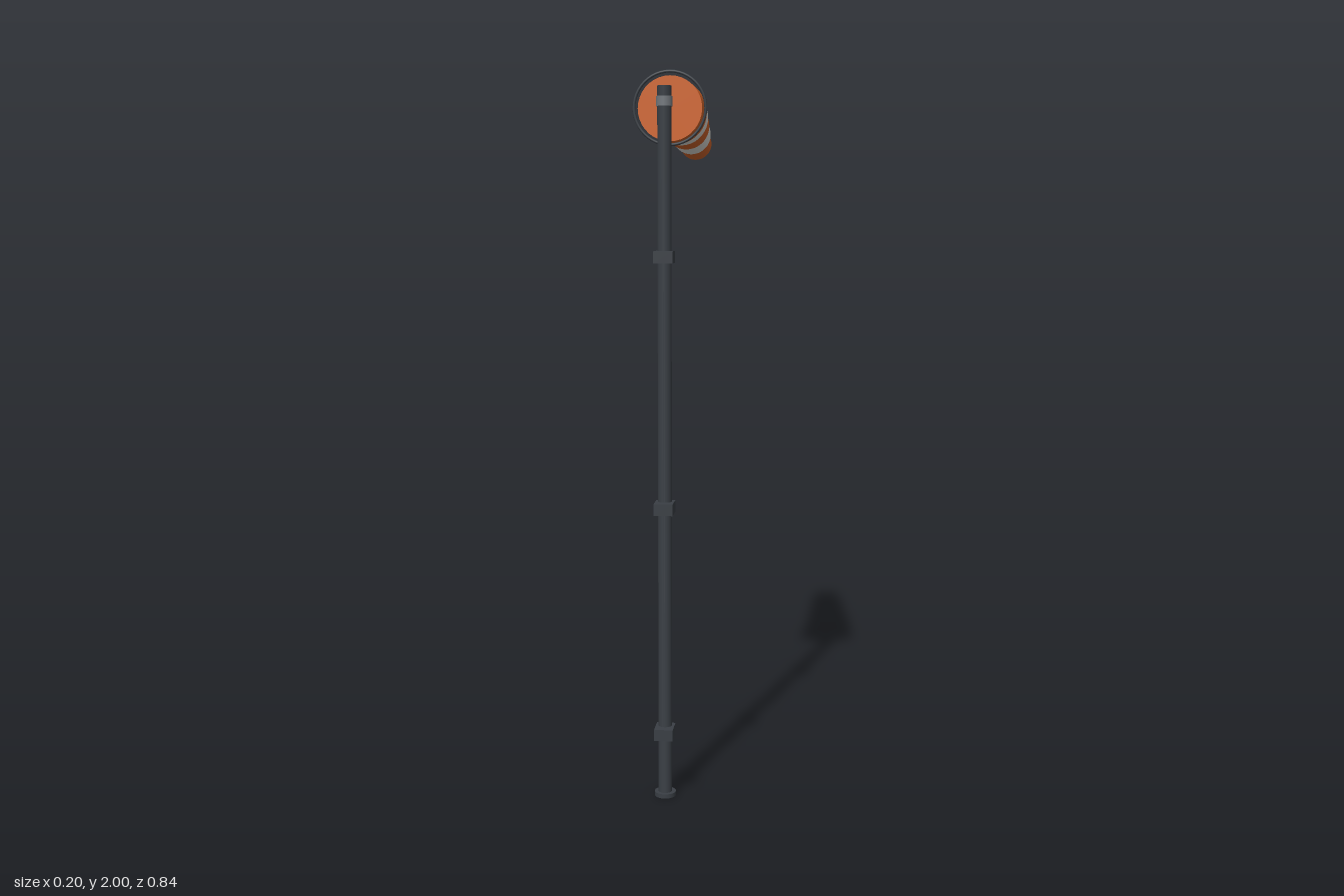
import * as THREE from 'three';

const mat = (color) => new THREE.MeshStandardMaterial({ color });

export function createModel() {
  const model = new THREE.Group();
  const dark = mat(0x3a3f45), metal = mat(0x72777c);
  const orange = mat(0xd0642a), white = mat(0xdddcd5);
  const poleZ = 0.38, armY = 1.91;

  const add = (name, geometry, material, x, y, z) => {
    const mesh = new THREE.Mesh(geometry, material);
    mesh.name = name;
    mesh.position.set(x, y, z);
    model.add(mesh);
    return mesh;
  };

  // Mast with its foot plate
  add('footPlate', new THREE.CylinderGeometry(0.03, 0.03, 0.012, 24), dark, 0, 0.006, poleZ);
  add('mast', new THREE.CylinderGeometry(0.019, 0.019, 1.94, 24), dark, 0, 0.98, poleZ);

  // Wall brackets, reaching forward from the mast
  for (const y of [0.187, 0.822, 1.502])
    add('bracket', new THREE.BoxGeometry(0.052, 0.032, 0.064), dark, 0, y, 0.391);

  // Swivel collar and the arm that holds the hoop
  add('swivelCollar', new THREE.CylinderGeometry(0.022, 0.022, 0.026, 24), metal, 0, armY, poleZ);
  const arm = add('arm', new THREE.CylinderGeometry(0.006, 0.006, 0.12, 12), metal, 0, armY, 0.32);
  arm.rotation.x = Math.PI / 2;
  add('hoop', new THREE.TorusGeometry(0.098, 0.004, 10, 48), dark, 0, 1.9, 0.264);

  // Sock: closed bands that narrow and droop towards the tail
  // [radius, front z, back z, centre height, droop in degrees]
  const bands = [
    [0.088, 0.262, 0.13, 1.898, 1],
    [0.078, 0.13, -0.008, 1.893, 3],
    [0.068, -0.006, -0.146, 1.88, 5.5],
    [0.059, -0.144, -0.284, 1.864, 7.5],
    [0.049, -0.28, -0.414, 1.844, 10],
  ];
  bands.forEach(([r, z0, z1, y, droop], i) => {
    const band = new THREE.Group();
    band.name = 'sockBand';
    band.position.set(0, y, (z0 + z1) / 2);
    band.rotation.x = -THREE.MathUtils.degToRad(droop);
    const cloth = new THREE.Mesh(
      new THREE.CylinderGeometry(r, r, z0 - z1, 36).rotateX(Math.PI / 2), i % 2 ? white : orange);
    cloth.name = 'cloth';
    band.add(cloth);
    // Dark seam where the band leaves the wider one in front
    if (i > 0) {
      const seam = new THREE.Mesh(new THREE.TorusGeometry(r, 0.002, 8, 36), dark);
      seam.name = 'seam';
      seam.position.z = (z0 - z1) / 2 - 0.002;
      band.add(seam);
    }
    model.add(band);
  });

  return model;
}
